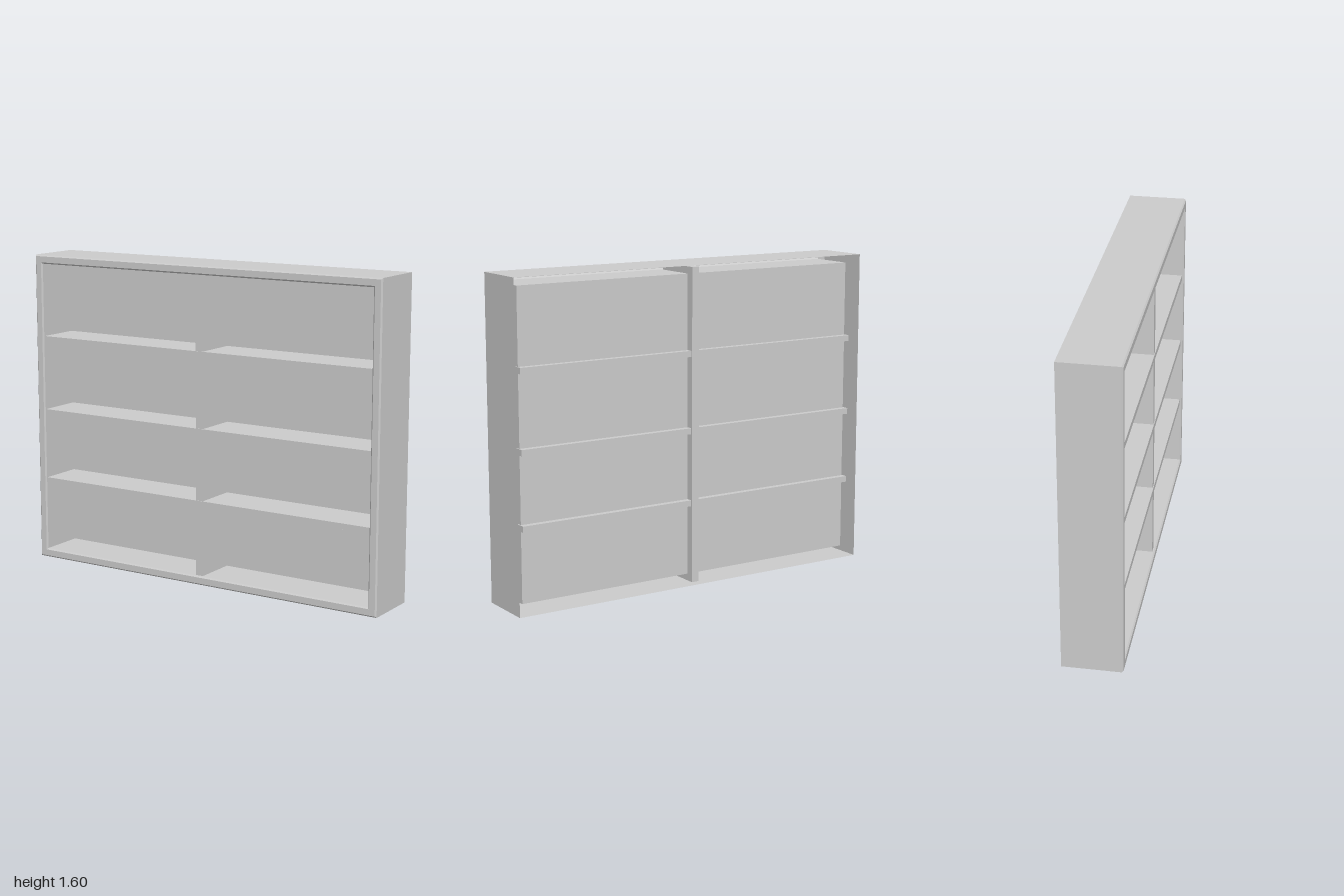
import * as THREE from 'three';

const W = 1.0, H = 1.6, BACK = -0.15, FRONT = 0.148, PANEL_Z = -0.09;

// Loft of rectangular rings, each given as [inset from the outer size, z]
function rectLoft(rings) {
  const corners = ([i, z]) => [
    [-W + i, i, z], [W - i, i, z], [W - i, H - i, z], [-W + i, H - i, z],
  ];
  const pos = [];
  for (let r = 0; r < rings.length - 1; r++) {
    const a = corners(rings[r]), b = corners(rings[r + 1]);
    for (let k = 0; k < 4; k++) {
      const n = (k + 1) % 4;
      pos.push(...a[k], ...a[n], ...b[n], ...a[k], ...b[n], ...b[k]);
    }
  }
  const g = new THREE.BufferGeometry();
  g.setAttribute('position', new THREE.Float32BufferAttribute(pos, 3));
  g.computeVertexNormals();
  return g;
}

export function createModel() {
  const group = new THREE.Group();
  const mat = new THREE.MeshStandardMaterial({ color: 0xcccccc, flatShading: true, side: THREE.DoubleSide });

  const add = (name, geometry) => {
    const mesh = new THREE.Mesh(geometry, mat);
    mesh.name = name;
    group.add(mesh);
    return mesh;
  };
  // Box given by its limits on each axis
  const box = (name, x0, x1, y0, y1, z0, z1) =>
    add(name, new THREE.BoxGeometry(x1 - x0, y1 - y0, z1 - z0))
      .position.set((x0 + x1) / 2, (y0 + y1) / 2, (z0 + z1) / 2);

  // Hollow case: thin outer skin, bevelled front frame and inner lining, open at the rear
  const inset = 0.045, bevel = 0.007;
  add('caseFrame', rectLoft([
    [0, BACK],
    [0, FRONT - bevel],
    [bevel, FRONT],
    [inset - bevel, FRONT],
    [inset, FRONT - bevel],
    [inset, PANEL_Z],
  ]));

  // Back panel, set in from the rear edge
  const panel = add('backPanel', new THREE.PlaneGeometry(2 * (W - inset), H - 2 * inset));
  panel.position.set(0, H / 2, PANEL_Z);

  // Shelves pass through the back panel
  for (const y of [0.4, 0.765, 1.15]) {
    box('shelf', -0.96, 0.96, y, y + 0.03, -0.122, 0.138);
  }

  // Centre divider, full height and slightly deeper than the shelves
  box('centreDivider', -0.02, 0.02, 0.01, H - 0.01, -0.13, 0.134);

  return group;
}
